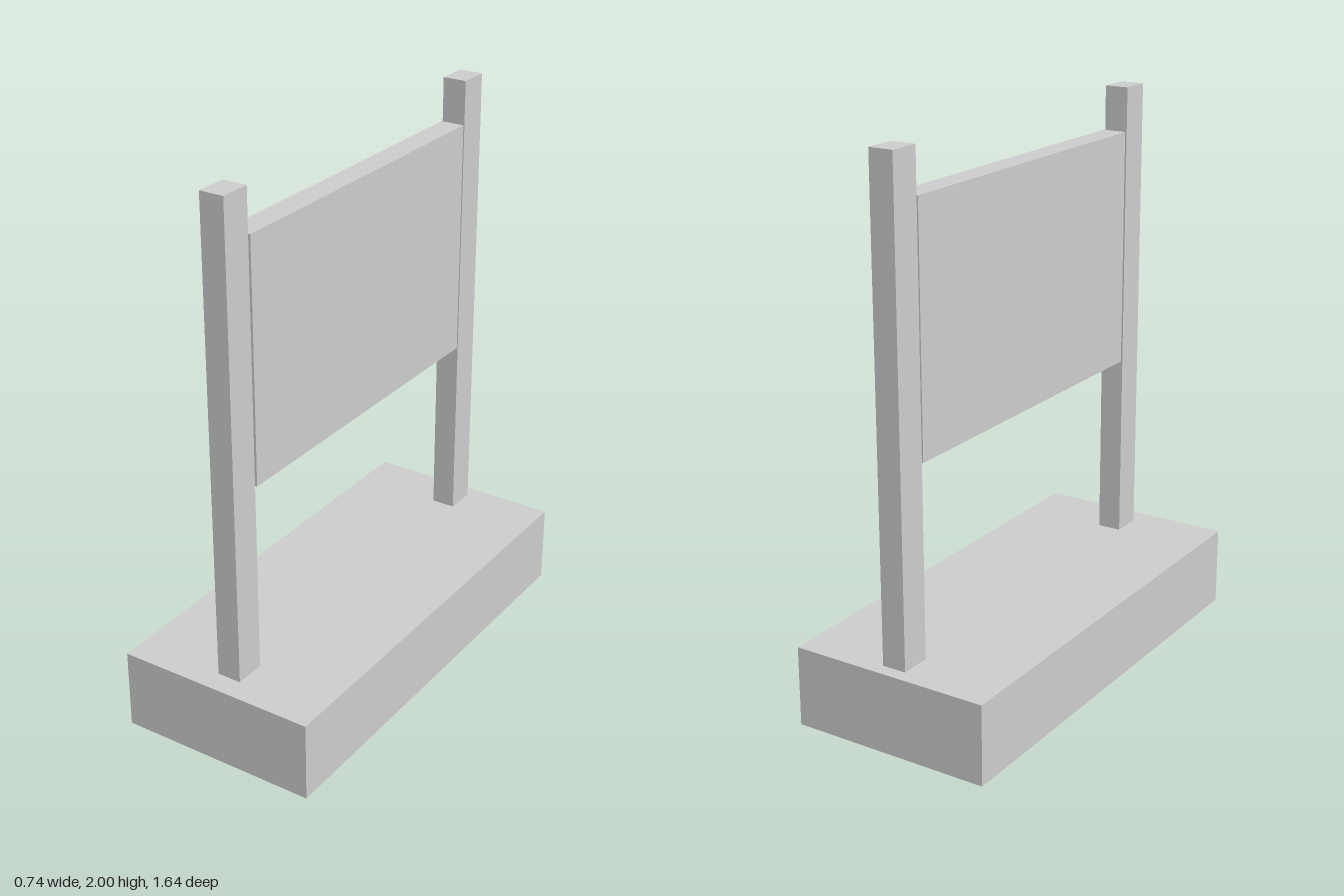
import * as THREE from 'three';

const material = new THREE.MeshStandardMaterial({ color: 0xcccccc, flatShading: true });

// Box given by its [min, max] extent along each axis
function addBox(group, name, [x0, x1], [y0, y1], [z0, z1]) {
  const mesh = new THREE.Mesh(new THREE.BoxGeometry(x1 - x0, y1 - y0, z1 - z0), material);
  mesh.position.set((x0 + x1) / 2, (y0 + y1) / 2, (z0 + z1) / 2);
  mesh.name = name;
  group.add(mesh);
}

export function createModel() {
  const group = new THREE.Group();
  group.name = 'signboard';

  const baseTop = 0.29;
  const thickness = [-0.039, 0.05]; // shared by posts and panel

  // Heavy plinth
  addBox(group, 'base', [-0.37, 0.37], [0, baseTop], [-0.82, 0.82]);

  // Two upright posts
  addBox(group, 'frontPost', thickness, [baseTop, 2], [0.627, 0.741]);
  addBox(group, 'backPost', thickness, [baseTop, 2], [-0.772, -0.657]);

  // Panel hung between the posts with a narrow gap at each end
  addBox(group, 'panel', thickness, [0.978, 1.842], [-0.65, 0.616]);

  return group;
}
